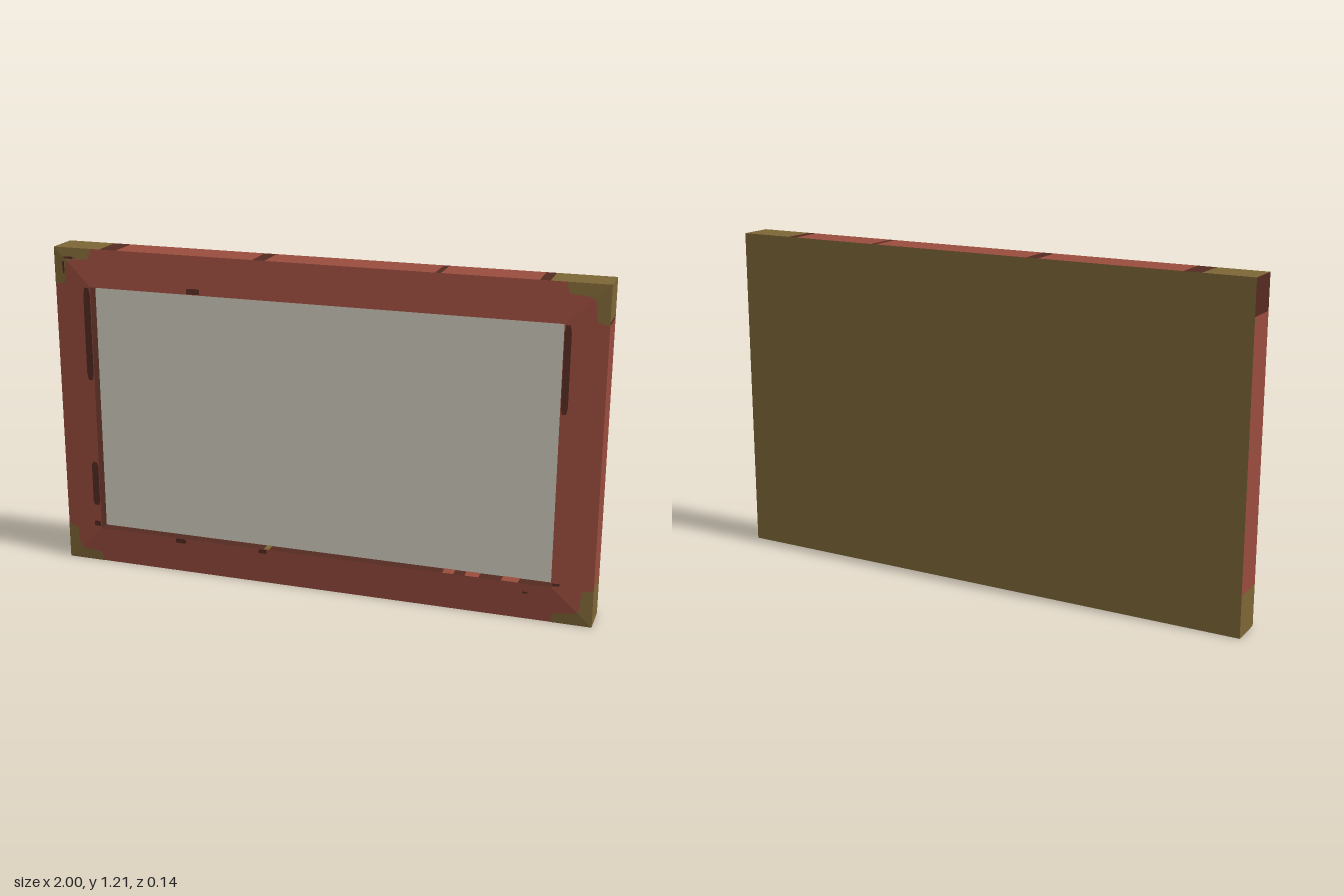
import * as THREE from 'three';

const W = 1, H = 1.205;              // half width and height
const WX = 0.145, WY = 0.137;        // frame rail widths
const BACK = -0.07, EDGE = 0.055, LIP = 0.07, PANEL = 0.03;

const mat = (name, color) => new THREE.MeshStandardMaterial({ name, color });

export function createModel() {
  const group = new THREE.Group();
  group.name = 'framedBoard';
  const red = mat('red paint', 0x984c3d);
  const dark = mat('dark worn wood', 0x542a21);
  const gold = mat('olive brass', 0x7d6636);
  const cream = mat('cream panel', 0xccc8b9);

  const add = (name, geometry, material) => {
    const mesh = new THREE.Mesh(geometry, material);
    mesh.name = name;
    group.add(mesh);
  };
  // flat four-sided face, corners counter-clockwise from outside
  const quad = (name, material, a, b, c, d) => {
    const g = new THREE.BufferGeometry();
    g.setAttribute('position', new THREE.Float32BufferAttribute([...a, ...b, ...c, ...d], 3));
    g.setIndex([0, 1, 2, 0, 2, 3]);
    g.computeVertexNormals();
    add(name, g, material);
  };
  const wall = (name, material, p, q, zf, zb) =>
    quad(name, material, [...p, zf], [...q, zf], [...q, zb], [...p, zb]);
  // height of the sloped frame face
  const bevelZ = (x, y) => EDGE + (LIP - EDGE) *
    Math.min((W - Math.abs(x)) / WX, Math.min(y, H - y) / WY, 1);
  // painted patch that follows the sloped face
  const patch = (name, material, points) => {
    const g = new THREE.ShapeGeometry(new THREE.Shape(points.map(p => new THREE.Vector2(...p))));
    const pos = g.attributes.position;
    for (let i = 0; i < pos.count; i++) pos.setZ(i, bevelZ(pos.getX(i), pos.getY(i)) + 0.0015);
    g.computeVertexNormals();
    add(name, g, material);
  };

  // corners clockwise from top left
  const outer = [[-W, H], [W, H], [W, 0], [-W, 0]];
  const inner = [[-W + WX, H - WY], [W - WX, H - WY], [W - WX, WY], [-W + WX, WY]];
  const sides = ['top', 'right', 'bottom', 'left'];
  // colour bands along each outer side: [end distance, material]
  const bands = [
    [[0.18, gold], [0.245, dark], [0.765, red], [0.81, dark], [1.415, red],
      [1.435, dark], [1.765, red], [1.8, dark], [2, gold]],
    [[0.127, gold], [0.137, dark], [1.06, red], [H, gold]],
    [[0.24, gold], [0.25, dark], [1.75, red], [1.76, dark], [2, gold]],
    [[0.15, gold], [1.08, red], [H, dark]],
  ];

  sides.forEach((side, i) => {
    const j = (i + 1) % 4, p = outer[i], q = outer[j];
    const length = Math.hypot(q[0] - p[0], q[1] - p[1]);
    const at = s => p.map((v, k) => v + (q[k] - v) * s / length);
    let start = 0;
    for (const [end, material] of bands[i]) {
      wall(side + 'EdgeBand', material, at(start), at(end), EDGE, BACK);
      start = end;
    }
    // sloped rail face and inner rebate
    quad(side + 'Rail', red, [...p, EDGE], [...inner[i], LIP], [...inner[j], LIP], [...q, EDGE]);
    wall(side + 'InnerWall', dark, inner[j], inner[i], LIP, PANEL);
  });

  // back board and recessed panel
  quad('backBoard', gold, [W, 0, BACK], [-W, 0, BACK], [-W, H, BACK], [W, H, BACK]);
  quad('panel', cream, ...[3, 2, 1, 0].map(i => [...inner[i], PANEL]));

  // corner brackets, two mitred arms each
  const arm = [[0, 0], [1, 0], [0.93, 0.27], [0.5, 0.31], [0.36, 0.36]];
  for (const sx of [-1, 1]) for (const top of [0, 1]) for (const swap of [0, 1]) {
    patch('cornerBracket', gold, arm.map(([a, b]) => {
      const [u, v] = swap ? [b, a] : [a, b];
      return [sx * (W - u * WX), top ? H - v * WY : v * WY];
    }));
  }

  // worn spots on the inner lip: [x0, x1, y0, y1]
  const wear = [
    [-0.885, -0.857, 0.72, 1.065], [-0.885, -0.857, 0.23, 0.4], [-0.885, -0.857, 0.145, 0.165],
    [0.857, 0.88, 0.76, 1.065], [0.857, 0.885, 0.142, 0.152],
    [-0.48, -0.43, 1.07, 1.09], [-0.55, -0.51, 0.118, 0.136], [-0.22, -0.19, 0.12, 0.136],
    [-0.965, -0.915, 1.165, 1.173], [-0.968, -0.96, 1.11, 1.155], [0.755, 0.775, 0.1, 0.106],
  ];
  for (const [x0, x1, y0, y1] of wear) {
    const cx = (x1 - x0) * 0.2, cy = (y1 - y0) * 0.08;
    patch('wornSpot', dark, [[x0 + cx, y0], [x1 - cx, y0], [x1, y0 + cy], [x1, y1 - cy],
      [x1 - cx, y1], [x0 + cx, y1], [x0, y1 - cy], [x0, y0 + cy]]);
  }

  // paint remnants on the lower inner wall
  for (const [x0, x1, m] of [[0.47, 0.51, red], [0.55, 0.6, red], [0.68, 0.74, red], [-0.2, -0.18, gold]])
    wall('paintRemnant', m, [x0, WY + 0.001], [x1, WY + 0.001], LIP, PANEL);

  return group;
}
